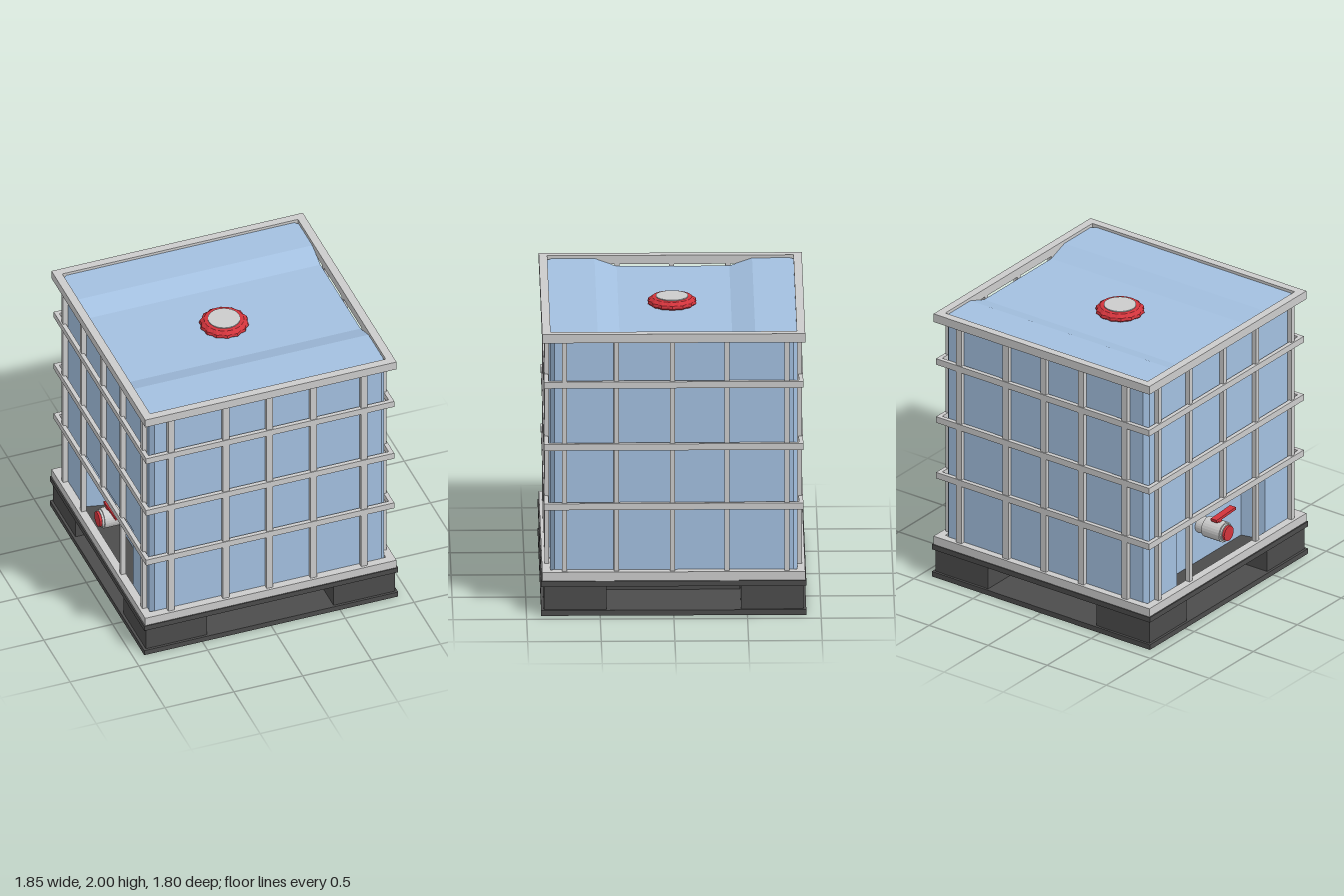
import * as THREE from 'three';

const mat = (color) => new THREE.MeshStandardMaterial({ color, flatShading: true });
const grey = mat(0xcccccc), blue = mat(0xa3c0e0), dark = mat(0x4c4c4c), red = mat(0xd2343c);

function add(parent, name, geometry, material, x = 0, y = 0, z = 0) {
  const mesh = new THREE.Mesh(geometry, material);
  mesh.name = name;
  mesh.position.set(x, y, z);
  parent.add(mesh);
  return mesh;
}

const box = (parent, name, material, w, h, d, x, y, z) =>
  add(parent, name, new THREE.BoxGeometry(w, h, d), material, x, y, z);

function group(parent, name) {
  const g = new THREE.Group();
  g.name = name;
  parent.add(g);
  return g;
}

// Upright prism from a plan outline of [x, z] points
function prism(points, y0, y1) {
  const shape = new THREE.Shape(points.map(([x, z]) => new THREE.Vector2(x, -z)));
  return new THREE.ExtrudeGeometry(shape, { depth: y1 - y0, bevelEnabled: false })
    .rotateX(-Math.PI / 2).translate(0, y0, 0);
}

// Rectangular frame with an open middle
function frame(hx, hz, t, y0, y1) {
  const shape = new THREE.Shape([[-hx, -hz], [hx, -hz], [hx, hz], [-hx, hz]].map((p) => new THREE.Vector2(...p)));
  const [ix, iz] = [hx - t, hz - t];
  shape.holes.push(new THREE.Path([[-ix, -iz], [-ix, iz], [ix, iz], [ix, -iz]].map((p) => new THREE.Vector2(...p))));
  return new THREE.ExtrudeGeometry(shape, { depth: y1 - y0, bevelEnabled: false })
    .rotateX(-Math.PI / 2).translate(0, y0, 0);
}

// Upper tank: cross-sections along z, each [z, half width, top height]
function upperTank(bottom) {
  const stations = [
    [-0.842, 0.823, 1.98], [-0.812, 0.853, 1.98], [-0.555, 0.853, 1.98], [-0.4, 0.853, 1.925],
    [0.365, 0.853, 1.925], [0.515, 0.853, 1.98], [0.808, 0.853, 1.98], [0.838, 0.823, 1.98],
  ];
  const pos = [], index = [];
  for (const [z, w, top] of stations) pos.push(-w, bottom, z, w, bottom, z, w, top, z, -w, top, z);
  for (let s = 0; s < stations.length - 1; s++) {
    for (let k = 0; k < 4; k++) {
      const a = s * 4 + k, b = s * 4 + (k + 1) % 4;
      index.push(a, b, b + 4, a, b + 4, a + 4);
    }
  }
  const e = (stations.length - 1) * 4;
  index.push(0, 2, 1, 0, 3, 2, e, e + 1, e + 2, e, e + 2, e + 3);
  const g = new THREE.BufferGeometry();
  g.setAttribute('position', new THREE.Float32BufferAttribute(pos, 3));
  g.setIndex(index);
  const flat = g.toNonIndexed();
  flat.computeVertexNormals();
  return flat;
}

// Cap ring with scalloped grip: lobes pushed out on the lower rings only
function capGeometry() {
  const lobes = 14;
  const profile = [[0, 0], [0.15, 0], [0.17, 0.015], [0.165, 0.035], [0.135, 0.055], [0.11, 0.057], [0, 0.057]];
  const g = new THREE.LatheGeometry(profile.map((p) => new THREE.Vector2(...p)), lobes * 4);
  const p = g.attributes.position;
  for (let i = 0; i < p.count; i++) {
    const x = p.getX(i), z = p.getZ(i);
    if (Math.hypot(x, z) < 0.145) continue;
    const k = 0.965 + 0.035 * Math.cos(lobes * Math.atan2(z, x));
    p.setX(i, x * k);
    p.setZ(i, z * k);
  }
  g.computeVertexNormals();
  return g;
}

export function createModel() {
  const root = new THREE.Group();
  root.name = 'bulkContainer';

  // Pallet: two decks, four corner blocks and a centre block
  const pallet = group(root, 'pallet');
  box(pallet, 'bottomDeck', dark, 1.845, 0.038, 1.8, 0, 0.019, 0);
  box(pallet, 'topDeck', dark, 1.845, 0.038, 1.8, 0, 0.226, 0);
  box(pallet, 'centreBlock', dark, 0.92, 0.175, 0.91, 0, 0.122, 0);
  for (const sx of [-1, 1]) {
    for (const sz of [-1, 1]) {
      box(pallet, 'cornerBlock', dark, 0.445, 0.175, 0.425, sx * 0.682, 0.122, sz * 0.67);
    }
  }

  // Tank: the lower part has a pocket for the valve on the -x side
  const tank = group(root, 'tank');
  const split = 0.765, inner = -0.68;
  add(tank, 'lowerTank', prism([
    [-0.853, 0.808], [-0.823, 0.838], [0.823, 0.838], [0.853, 0.808],
    [0.853, -0.812], [0.823, -0.842], [-0.823, -0.842], [-0.853, -0.812],
    [-0.853, -0.5], [inner, -0.46], [inner, 0.46], [-0.853, 0.5],
  ], 0.247, split), blue);
  add(tank, 'upperTank', upperTank(split), blue);

  // Filler cap
  const cap = group(root, 'fillerCap');
  cap.position.y = 1.924;
  add(cap, 'capRing', capGeometry(), red);
  add(cap, 'capDisc', new THREE.CylinderGeometry(0.11, 0.11, 0.012, 32), grey, 0, 0.057, 0);

  // Cage: rails and hoops
  const cage = group(root, 'cage');
  add(cage, 'bottomRail', frame(0.913, 0.893, 0.057, 0.245, 0.307), grey);
  add(cage, 'topRail', frame(0.913, 0.893, 0.057, 1.938, 2), grey);
  for (const y of [0.768, 1.192, 1.634]) {
    add(cage, 'hoop', frame(0.902, 0.88, 0.03, y - 0.023, y + 0.023), grey);
  }

  // Cage uprights: the second half is the first turned half a circle
  for (const s of [1, -1]) {
    for (const x of [-0.715, -0.318, 0, 0.32, 0.687]) {
      box(cage, 'upright', grey, 0.047, 1.66, 0.031, s * x, 1.125, s * 0.859);
    }
    for (const z of [0.742, 0.39, 0.007, -0.363, -0.768]) {
      // The middle upright beside the valve stops at the lowest hoop
      const low = s < 0 && z === 0.007 ? 0.768 : 0.295;
      box(cage, 'upright', grey, 0.034, 1.955 - low, 0.034, s * 0.875, (1.955 + low) / 2, s * z);
    }
  }

  // Outlet valve
  const valve = group(root, 'valve');
  valve.position.set(0, 0.52, 0);
  const tube = (name, r, x0, x1, m) => add(valve, name,
    new THREE.CylinderGeometry(r, r, x1 - x0, 24).rotateZ(Math.PI / 2), m, (x0 + x1) / 2, 0, 0);
  tube('neck', 0.06, -0.76, -0.66, grey);
  tube('body', 0.072, -0.89, -0.74, grey);
  tube('collar', 0.062, -0.905, -0.88, grey);
  tube('outletCap', 0.054, -0.922, -0.9, red);
  add(valve, 'stem', new THREE.CylinderGeometry(0.025, 0.03, 0.04, 12), red, -0.83, 0.078, 0);
  box(valve, 'handle', red, 0.05, 0.02, 0.22, -0.83, 0.095, 0.06).rotation.x = -0.06;

  return root;
}
